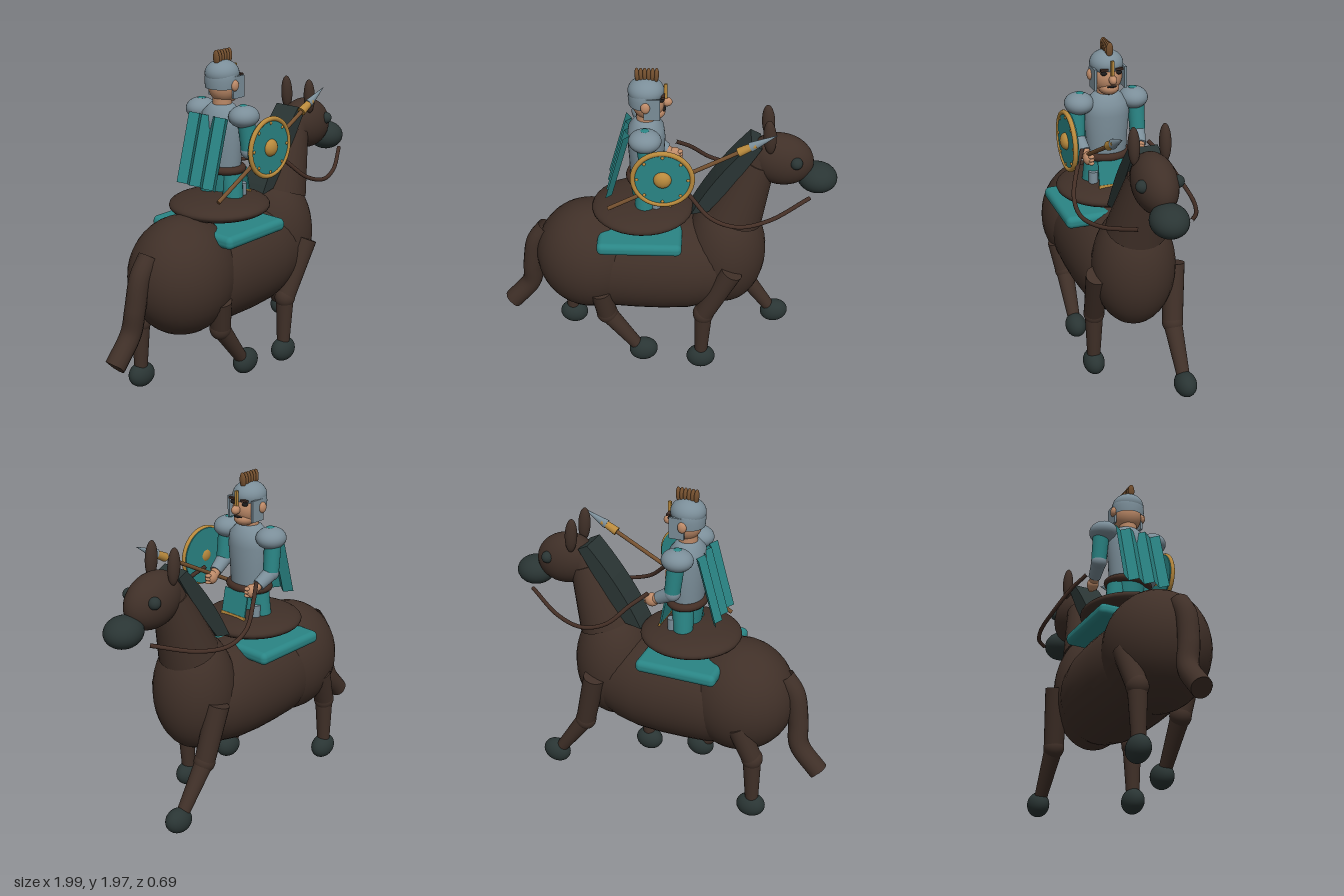
import * as THREE from 'three';
import { RoundedBoxGeometry } from 'three/addons/geometries/RoundedBoxGeometry.js';

const V = (p) => new THREE.Vector3(...p);
const paint = (name, color, side = THREE.FrontSide) => {
  const m = new THREE.MeshStandardMaterial({ color, side });
  m.name = name;
  return m;
};

export function createModel() {
  const coat = paint('brown coat', 0x403028, THREE.DoubleSide);
  const dark = paint('dark hoof', 0x2a3534);
  const teal = paint('teal cloth', 0x2a8585, THREE.DoubleSide);
  const steel = paint('steel', 0x7b8e99);
  const gold = paint('gold', 0xb8893c);
  const skin = paint('skin', 0xbd8a68);
  const wood = paint('wood', 0x74502f);
  const leather = paint('leather', 0x432e25);
  const black = paint('black', 0x1c1a1a);

  const root = new THREE.Group();
  root.name = 'riderOnHorse';
  const horse = new THREE.Group();
  horse.name = 'horse';
  const rider = new THREE.Group();
  rider.name = 'rider';
  root.add(horse, rider);

  const add = (parent, name, geo, mat, pos = [0, 0, 0], rot = [0, 0, 0]) => {
    const m = new THREE.Mesh(geo, mat);
    m.name = name;
    m.position.set(...pos);
    m.rotation.set(...rot);
    parent.add(m);
    return m;
  };
  // Ellipsoid with three radii
  const ball = (parent, name, mat, pos, r, rot) =>
    add(parent, name, new THREE.SphereGeometry(1, 32, 20).scale(...r), mat, pos, rot);
  // Tapered cylinder between two points
  const rod = (parent, name, mat, a, b, ra, rb = ra) => {
    const A = V(a), d = V(b).sub(A);
    const m = add(parent, name, new THREE.CylinderGeometry(rb, ra, d.length(), 24), mat);
    m.position.copy(A).addScaledVector(d, 0.5);
    m.quaternion.setFromUnitVectors(new THREE.Vector3(0, 1, 0), d.normalize());
    return m;
  };
  const tube = (parent, name, mat, pts, r) =>
    add(parent, name, new THREE.TubeGeometry(new THREE.CatmullRomCurve3(pts.map(V)), 40, r, 16), mat);

  // Horse body
  const barrel = [[-0.4, 0.25], [-0.3, 0.278], [-0.15, 0.285], [0, 0.287], [0.15, 0.28], [0.28, 0.255], [0.4, 0.21]];
  const profile = barrel.map(([x, r]) => new THREE.Vector2(r, x));
  add(horse, 'barrel', new THREE.LatheGeometry(profile, 40).rotateZ(-Math.PI / 2).scale(1, 1.1, 1), coat, [0, 0.685, 0]);
  ball(horse, 'hindquarters', coat, [-0.44, 0.72, 0], [0.33, 0.35, 0.3]);
  ball(horse, 'chest', coat, [0.365, 0.77, 0], [0.245, 0.365, 0.242]);
  rod(horse, 'neckBase', coat, [0.41, 1.03, 0], [0.54, 1.395, 0], 0.175, 0.1);
  rod(horse, 'neckTop', coat, [0.5, 1.3, 0], [0.58, 1.46, 0], 0.1, 0.09);

  // Horse head
  ball(horse, 'head', coat, [0.665, 1.41, 0], [0.19, 0.155, 0.12], [0, 0, -0.3]);
  ball(horse, 'muzzle', dark, [0.88, 1.29, 0], [0.115, 0.088, 0.105], [0, 0, -0.08]);
  for (const s of [1, -1]) {
    ball(horse, 'ear', coat, [0.588, 1.6, s * 0.088], [0.037, 0.105, 0.032], [0, 0, 0.08]);
    ball(horse, 'horseEye', dark, [0.745, 1.44, s * 0.1], [0.035, 0.035, 0.035]);
  }

  // Mane: curved slab along the back of the neck
  const mane = new THREE.Shape();
  mane.moveTo(0.16, 1.07);
  mane.quadraticCurveTo(0.28, 1.32, 0.49, 1.55);
  mane.lineTo(0.55, 1.52);
  mane.quadraticCurveTo(0.42, 1.3, 0.26, 1.09);
  add(horse, 'mane', new THREE.ExtrudeGeometry(mane, { depth: 0.17, bevelEnabled: false, curveSegments: 10 }), dark, [0, 0, -0.085]);

  // Tail
  tube(horse, 'tail', coat, [[-0.7, 0.9, 0], [-0.77, 0.8, 0], [-0.805, 0.62, -0.01], [-0.825, 0.47, -0.03], [-0.948, 0.315, -0.03]], 0.06);
  const stub = rod(horse, 'tailEnd', coat, [-0.94, 0.322, -0.03], [-0.95, 0.314, -0.03], 0.059);
  stub.castShadow = false;

  // Legs: side, hip, knee, fetlock, hoof centre
  const legs = [
    ['frontLeg', 1, [0.405, 0.765], [0.245, 0.42], [0.235, 0.1], [0.235, 0.075], 0],
    ['frontLeg', -1, [0.405, 0.765], [0.49, 0.42], [0.67, 0.16], [0.705, 0.125], 0.25],
    ['hindLeg', 1, [-0.37, 0.6], [-0.34, 0.41], [-0.16, 0.16], [-0.12, 0.125], 0.2],
    ['hindLeg', -1, [-0.5, 0.65], [-0.59, 0.42], [-0.6, 0.1], [-0.595, 0.078], -0.1],
  ];
  for (const [name, s, hip, knee, ankle, hoof, tilt] of legs) {
    const leg = new THREE.Group();
    leg.name = name;
    horse.add(leg);
    rod(leg, 'upperLeg', coat, [...hip, s * 0.23], [...knee, s * 0.2], 0.066, 0.06);
    ball(leg, 'knee', coat, [...knee, s * 0.2], [0.064, 0.068, 0.062]);
    rod(leg, 'lowerLeg', coat, [...knee, s * 0.2], [...ankle, s * 0.2], 0.055, 0.038);
    ball(leg, 'hoof', dark, [...hoof, s * 0.2], [0.088, 0.075, 0.063], [0, 0, tilt]);
  }

  // Saddle, blanket and reins
  ball(horse, 'saddle', coat, [-0.125, 1.07, 0], [0.298, 0.07, 0.293]);
  add(horse, 'blanket', new RoundedBoxGeometry(0.49, 0.075, 0.62, 4, 0.032), teal, [-0.135, 0.953, 0]);
  for (const s of [1, -1]) {
    tube(horse, 'rein', leather, [[0.06, 1.39, s * 0.2], [0.15, 1.32, s * 0.26], [0.27, 1.21, s * 0.32], [0.42, 1.16, s * 0.33],
      [0.6, 1.17, s * 0.275], [0.83, 1.24, s * 0.145]], 0.012);
  }

  // Rider torso, belt, tunic and legs
  const trunk = [[0.085, 1.25], [0.095, 1.3], [0.1, 1.42], [0.108, 1.54], [0.1, 1.61], [0.06, 1.66], [0, 1.67]].map((p) => new THREE.Vector2(...p));
  add(rider, 'breastplate', new THREE.LatheGeometry(trunk, 32).scale(1, 1, 1.25), steel, [-0.1, 0, 0]);
  add(rider, 'belt', new THREE.TorusGeometry(0.097, 0.023, 12, 32).rotateX(Math.PI / 2).scale(1, 1, 1.25), leather, [-0.1, 1.29, 0]);
  rod(rider, 'tunic', teal, [-0.1, 1.16, 0], [-0.1, 1.27, 0], 0.085, 0.1);
  for (const s of [1, -1]) {
    rod(rider, 'thigh', teal, [-0.1, 1.26, s * 0.07], [-0.11, 1.09, s * 0.095], 0.065, 0.055);
    rod(rider, 'greave', steel, [-0.045, 1.2, s * 0.1], [-0.045, 1.08, s * 0.1], 0.028);
  }
  add(rider, 'tabard', new THREE.BoxGeometry(0.009, 0.15, 0.18), teal, [0.022, 1.205, 0], [0, 0, 0.2]);
  add(rider, 'tabardHem', new THREE.BoxGeometry(0.013, 0.018, 0.185), gold, [0.039, 1.13, 0], [0, 0, 0.2]);

  // Cape: pleated sheet sloping out behind the back
  const cape = new THREE.PlaneGeometry(0.3, 0.41, 6, 1).rotateY(-Math.PI / 2);
  const cp = cape.attributes.position;
  for (let i = 0; i < cp.count; i++) cp.setX(i, (i % 7) % 2 ? 0.018 : -0.018);
  const capeFlat = cape.toNonIndexed();
  capeFlat.computeVertexNormals();
  add(rider, 'cape', capeFlat, teal, [-0.258, 1.41, 0.005], [0, 0, -0.27]);

  // Arms
  for (const s of [1, -1]) {
    const arm = new THREE.Group();
    arm.name = s > 0 ? 'spearArm' : 'reinArm';
    rider.add(arm);
    ball(arm, 'shoulderGuard', steel, [-0.1, 1.61, s * 0.165], [0.092, 0.064, 0.085]);
    ball(arm, 'shoulderStud', teal, [-0.1, 1.67, s * 0.16], [0.024, 0.008, 0.024]);
    rod(arm, 'sleeve', teal, [-0.1, 1.6, s * 0.18], [-0.08, 1.42, s * 0.185], 0.05, 0.046);
    ball(arm, 'elbow', steel, [-0.08, 1.41, s * 0.185], [0.047, 0.047, 0.047]);
    rod(arm, 'bracer', steel, [-0.08, 1.41, s * 0.185], [0.01, 1.355, s * 0.17], 0.045, 0.036);
    rod(arm, 'wrist', skin, [0, 1.36, s * 0.17], [0.04, 1.335, s * 0.16], 0.028);
    ball(arm, 'hand', skin, [0.055, 1.33, s * 0.16], [0.042, 0.04, 0.034]);
    for (let i = 0; i < 3; i++) ball(arm, 'finger', skin, [0.085, 1.35 - i * 0.02, s * 0.155], [0.02, 0.011, 0.018]);
  }

  // Head and face
  rod(rider, 'neck', skin, [-0.1, 1.64, 0], [-0.1, 1.72, 0], 0.055);
  ball(rider, 'face', skin, [-0.088, 1.765, 0], [0.092, 0.1, 0.086]);
  ball(rider, 'jaw', skin, [-0.06, 1.705, 0], [0.068, 0.045, 0.06]);
  ball(rider, 'nose', skin, [0.016, 1.765, 0], [0.03, 0.026, 0.023]);
  ball(rider, 'mouth', black, [0, 1.722, 0], [0.012, 0.006, 0.03]);
  for (const s of [1, -1]) {
    ball(rider, 'riderEye', black, [-0.012, 1.8, s * 0.045], [0.016, 0.012, 0.018]);
    add(rider, 'eyebrow', new THREE.BoxGeometry(0.02, 0.012, 0.045), leather, [-0.004, 1.822, s * 0.045]);
    ball(rider, 'riderEar', skin, [-0.1, 1.775, s * 0.098], [0.026, 0.032, 0.018]);
    add(rider, 'cheekGuard', new THREE.BoxGeometry(0.09, 0.125, 0.014), steel, [-0.065, 1.762, s * 0.09]);
  }

  // Helmet with ribbed crest and nose guard
  const dome = [[0.096, 1.755], [0.1, 1.8], [0.094, 1.845], [0.074, 1.882], [0.043, 1.903], [0, 1.912]].map((p) => new THREE.Vector2(...p));
  add(rider, 'helmet', new THREE.LatheGeometry(dome, 32, Math.PI, Math.PI), steel, [-0.1, 0, 0]);
  ball(rider, 'helmetCap', steel, [-0.1, 1.835, 0], [0.101, 0.077, 0.096]);
  add(rider, 'noseGuard', new THREE.BoxGeometry(0.018, 0.11, 0.016), gold, [0.01, 1.82, 0]);
  for (let i = 0; i < 6; i++) {
    ball(rider, 'crestRib', wood, [-0.147 + i * 0.021, 1.925, 0], [0.014, 0.045, 0.021], [0, 0, 0.08 - i * 0.03]);
  }

  // Round shield on the rider's +z side
  const shield = new THREE.Group();
  shield.name = 'shield';
  shield.position.set(0, 1.43, 0.265);
  rider.add(shield);
  add(shield, 'shieldFace', new THREE.CylinderGeometry(0.168, 0.168, 0.026, 48).rotateX(Math.PI / 2), teal);
  add(shield, 'shieldRim', new THREE.TorusGeometry(0.165, 0.014, 12, 48), gold, [0, 0, 0.007]);
  ball(shield, 'shieldBoss', gold, [0, 0, 0.012], [0.05, 0.05, 0.034]);
  for (let i = 0; i < 8; i++) {
    const a = (i * Math.PI) / 4;
    ball(shield, 'rivet', gold, [0.142 * Math.cos(a), 0.142 * Math.sin(a), 0.013], [0.009, 0.009, 0.007]);
  }

  // Spear
  rod(rider, 'spearShaft', wood, [-0.315, 1.155, 0.165], [0.45, 1.565, 0.165], 0.012);
  rod(rider, 'spearSocket', gold, [0.415, 1.547, 0.165], [0.51, 1.598, 0.165], 0.026, 0.02);
  const tip = rod(rider, 'spearTip', steel, [0.48, 1.582, 0.165], [0.625, 1.66, 0.165], 0.029, 0.001);
  tip.scale.z = 0.8;

  return root;
}
